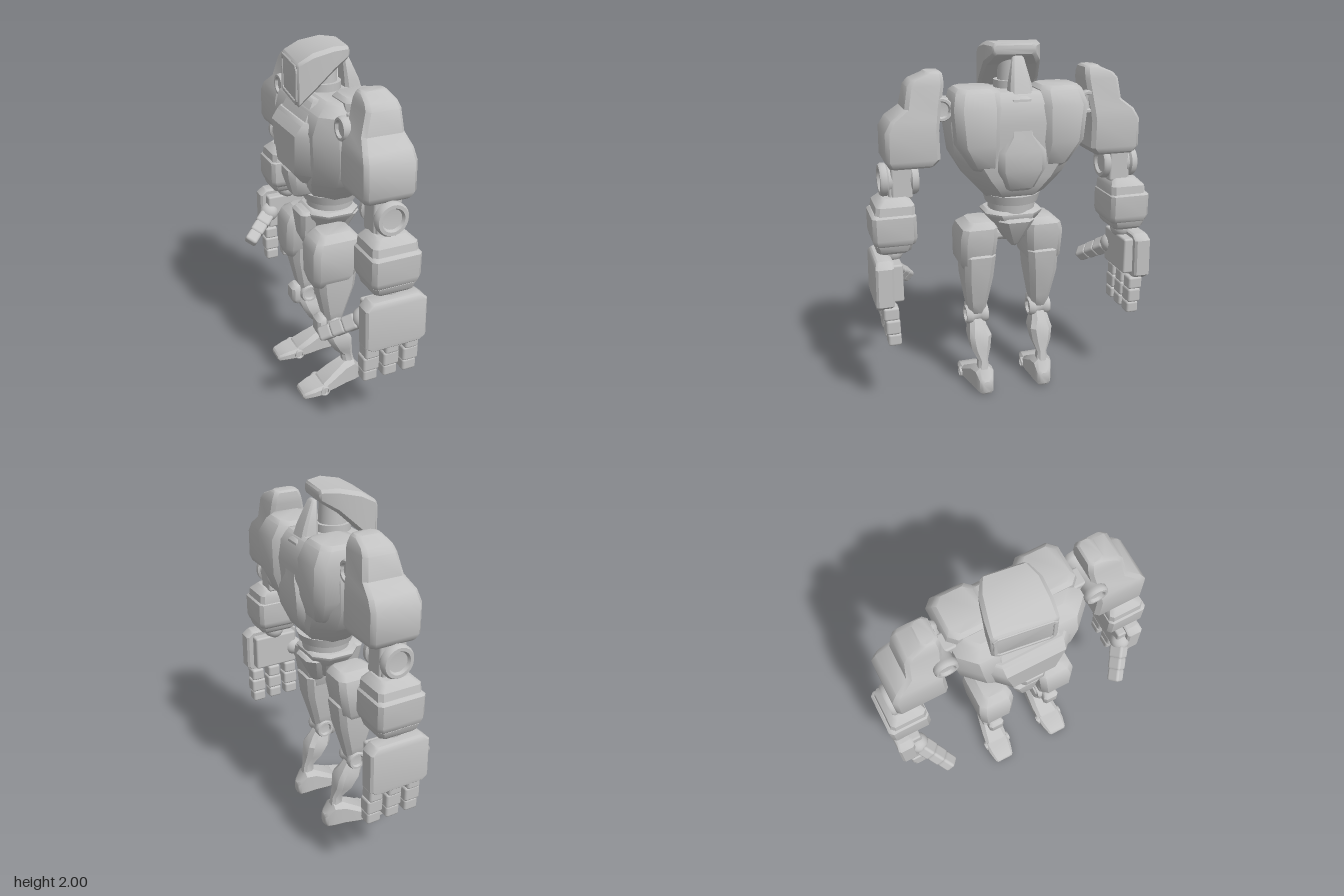
import * as THREE from 'three';
import { toCreasedNormals } from 'three/addons/utils/BufferGeometryUtils.js';
import { RoundedBoxGeometry } from 'three/addons/geometries/RoundedBoxGeometry.js';

const gray = new THREE.MeshStandardMaterial({ color: 0xc2c2c2 });
gray.name = 'plain gray';

function add(parent, name, geometry, x = 0, y = 0, z = 0) {
  const mesh = new THREE.Mesh(geometry, gray);
  mesh.name = name;
  mesh.position.set(x, y, z);
  parent.add(mesh);
  return mesh;
}

// Skin through chamfered rectangles [t, centreU, centreV, width, depth, chamfer] along y or z, with bevelled ends
function loft(sections, axis = 'y', bevel = 0.015) {
  const first = sections[0], last = sections[sections.length - 1];
  const inset = ([t, u, v, w, d, c]) => [t, u, v, w - 2 * bevel, d - 2 * bevel, c];
  const moved = (s, dt) => [s[0] + dt, ...s.slice(1)];
  const rows = [inset(first), moved(first, bevel), ...sections.slice(1, -1), moved(last, -bevel), inset(last)];
  const position = [], index = [];
  const put = (u, v, t) => position.push(...(axis === 'y' ? [u, t, v] : [u, v, t]));
  for (const [t, u, v, w, d, c] of rows) {
    const a = w / 2, b = d / 2, k = Math.min(c, a * 0.9, b * 0.9);
    for (const [p, q] of [[a, b - k], [a - k, b], [k - a, b], [-a, b - k], [-a, k - b], [k - a, -b], [a - k, -b], [a, k - b]])
      put(u + p, v + q, t);
  }
  const face = (a, b, c) => (axis === 'y' ? index.push(a, c, b) : index.push(a, b, c));
  for (let r = 0; r < rows.length - 1; r++)
    for (let i = 0; i < 8; i++) {
      const a = r * 8 + i, b = r * 8 + (i + 1) % 8;
      face(a, b, b + 8);
      face(a, b + 8, a + 8);
    }
  const top = (rows.length - 1) * 8;
  for (let i = 1; i < 7; i++) {
    face(0, i + 1, i);
    face(top, top + i, top + i + 1);
  }
  const g = new THREE.BufferGeometry();
  g.setAttribute('position', new THREE.Float32BufferAttribute(position, 3));
  g.setIndex(index);
  return toCreasedNormals(g, 0.62);
}

const box = (w, h, d, r = 0.012) => new RoundedBoxGeometry(w, h, d, 2, r);

// Joint drum with a raised rim and dished ends, along x or z
function drum(r, length, axis) {
  const h = length / 2;
  const profile = [[0, -h + 0.02], [r * 0.6, -h + 0.015], [r * 0.7, -h], [r * 0.9, -h], [r, -h + 0.012], [r, -h + 0.035], [r * 0.85, -h + 0.045],
    [r * 0.85, h - 0.045], [r, h - 0.035], [r, h - 0.012], [r * 0.9, h], [r * 0.7, h], [r * 0.6, h - 0.015], [0, h - 0.02]];
  const g = toCreasedNormals(new THREE.LatheGeometry(profile.map(p => new THREE.Vector2(...p)), 28), 0.8);
  return axis === 'x' ? g.rotateZ(Math.PI / 2) : g.rotateX(Math.PI / 2);
}

function rectangle(path, w, h, r) {
  const a = w / 2, b = h / 2;
  const p = [[-a + r, -b], [a - r, -b], [a, -b + r], [a, b - r], [a - r, b], [-a + r, b], [-a, b - r], [-a, -b + r]];
  path.setFromPoints(p.map(q => new THREE.Vector2(...q)));
  return path;
}

function buildTorso(body) {
  add(body, 'torso', loft([
    [1.19, 0, -0.01, 0.34, 0.27, 0.08], [1.25, 0, -0.01, 0.42, 0.32, 0.09], [1.31, 0, -0.01, 0.53, 0.36, 0.1], [1.43, 0, -0.01, 0.67, 0.39, 0.1],
    [1.6, 0, -0.01, 0.71, 0.42, 0.1], [1.7, 0, -0.02, 0.68, 0.38, 0.08], [1.76, 0, -0.03, 0.58, 0.3, 0.06]]));
  add(body, 'chestPlate', loft([
    [1.29, 0, 0.1, 0.36, 0.2, 0.09], [1.36, 0, 0.1, 0.5, 0.29, 0.16], [1.58, 0, 0.1, 0.6, 0.31, 0.19],
    [1.645, 0, 0.08, 0.58, 0.28, 0.17]]));
  add(body, 'collar', loft([[1.6, 0, 0.08, 0.52, 0.26, 0.1], [1.75, 0, 0.04, 0.44, 0.22, 0.08]]));
  add(body, 'abdomenBlock', loft([[1.19, 0, 0.16, 0.11, 0.12, 0.02], [1.31, 0, 0.18, 0.16, 0.14, 0.03], [1.365, 0, 0.18, 0.15, 0.14, 0.03]]));
  // Upper back blocks wrapping over the shoulders of the torso
  for (const s of [1, -1])
    add(body, 'backPack', loft([
      [1.36, s * 0.19, -0.12, 0.15, 0.16, 0.03], [1.5, s * 0.225, -0.12, 0.23, 0.24, 0.04],
      [1.69, s * 0.232, -0.1, 0.25, 0.29, 0.04], [1.785, s * 0.222, -0.08, 0.23, 0.25, 0.04]], 'y', 0.02));
  add(body, 'spinePlate', loft([[1.24, 0, -0.14, 0.16, 0.1, 0.02], [1.36, 0, -0.165, 0.26, 0.13, 0.03],
    [1.46, 0, -0.17, 0.26, 0.13, 0.03], [1.54, 0, -0.16, 0.14, 0.12, 0.02], [1.74, 0, -0.15, 0.13, 0.1, 0.02]]));
  add(body, 'backFin', loft([[1.68, -0.01, -0.14, 0.14, 0.11, 0.02], [1.8, -0.01, -0.12, 0.11, 0.08, 0.015], [1.93, -0.01, -0.09, 0.06, 0.03, 0.008]], 'y', 0.008));
  // Waist and pelvis
  add(body, 'waistRing', new THREE.CylinderGeometry(0.16, 0.145, 0.05, 28), 0, 1.175, -0.01);
  add(body, 'waist', new THREE.CylinderGeometry(0.135, 0.125, 0.1, 28), 0, 1.125, -0.01);
  add(body, 'pelvis', loft([[0.92, 0, 0, 0.1, 0.12, 0.02], [1.02, 0, 0, 0.2, 0.22, 0.05], [1.08, 0, 0, 0.31, 0.28, 0.07], [1.11, 0, 0, 0.32, 0.28, 0.07]]));
  add(body, 'pelvisFront', loft([[0.87, 0, 0.12, 0.06, 0.06, 0.015], [0.95, 0, 0.13, 0.1, 0.1, 0.02], [1.1, 0, 0.14, 0.16, 0.1, 0.02]]));
  add(body, 'pelvisBack', loft([[0.9, 0, -0.06, 0.06, 0.08, 0.02], [1.07, 0, -0.1, 0.2, 0.12, 0.04]]));
  add(body, 'hipAxle', drum(0.045, 0.3, 'x'), 0, 0.94, 0.04);
}

function buildHead(body) {
  const head = new THREE.Group();
  head.name = 'head';
  head.position.set(-0.015, 0, 0.055);
  head.rotation.y = -0.14;
  body.add(head);
  add(head, 'helmet', loft([
    [-0.14, 0, 1.96, 0.23, 0.065, 0.015], [-0.05, 0, 1.938, 0.3, 0.124, 0.02],
    [0.06, 0, 1.877, 0.325, 0.2, 0.02], [0.145, 0, 1.824, 0.325, 0.222, 0.015]], 'z', 0.01));
  const frame = rectangle(new THREE.Shape(), 0.3, 0.195, 0.02);
  frame.holes.push(rectangle(new THREE.Path(), 0.275, 0.168, 0.015));
  add(head, 'visorFrame', new THREE.ExtrudeGeometry(frame, { depth: 0.01, bevelEnabled: true, bevelSize: 0.004, bevelThickness: 0.004, bevelSegments: 1 }), 0, 1.822, 0.137);
  add(head, 'neck', new THREE.CylinderGeometry(0.07, 0.08, 0.2, 24), 0, 1.81, -0.03);
  add(head, 'neckRing', new THREE.CylinderGeometry(0.095, 0.095, 0.04, 24), 0, 1.78, -0.03);
}

function buildArm(body, s) {
  const arm = new THREE.Group();
  arm.name = s > 0 ? 'leftArm' : 'rightArm';
  body.add(arm);
  add(arm, 'shoulderJoint', drum(0.062, 0.25, 'z'), s * 0.4, 1.68, 0);
  add(arm, 'shoulderAxle', box(0.16, 0.09, 0.1), s * 0.36, 1.68, 0);
  add(arm, 'shoulderArmour', loft([
    [1.39, s * 0.56, -0.01, 0.24, 0.26, 0.02], [1.43, s * 0.555, -0.01, 0.28, 0.28, 0.02], [1.58, s * 0.555, -0.01, 0.275, 0.28, 0.02],
    [1.635, s * 0.535, -0.012, 0.25, 0.265, 0.02], [1.69, s * 0.495, -0.02, 0.185, 0.225, 0.02],
    [1.8, s * 0.475, -0.03, 0.185, 0.185, 0.02], [1.83, s * 0.462, -0.03, 0.16, 0.17, 0.02], [1.868, s * 0.43, -0.03, 0.09, 0.145, 0.02]], 'y', 0.01));
  add(arm, 'upperArm', box(0.11, 0.24, 0.15), s * 0.61, 1.34, -0.01);
  add(arm, 'elbowJoint', drum(0.088, 0.2, 'x'), s * 0.62, 1.315, -0.01);
  add(arm, 'elbowLink', box(0.1, 0.16, 0.13), s * 0.63, 1.23, -0.01);
  add(arm, 'forearmCuff', loft([[1.12, s * 0.66, -0.015, 0.21, 0.25, 0.02], [1.195, s * 0.655, -0.015, 0.2, 0.24, 0.02], [1.235, s * 0.65, -0.015, 0.16, 0.19, 0.02]]));
  add(arm, 'forearm', loft([[0.975, s * 0.665, -0.015, 0.215, 0.25, 0.02], [1.02, s * 0.665, -0.015, 0.23, 0.268, 0.02], [1.155, s * 0.665, -0.015, 0.23, 0.268, 0.02]]));
  add(arm, 'forearmEnd', loft([[0.935, s * 0.67, -0.015, 0.18, 0.22, 0.02], [1.0, s * 0.67, -0.015, 0.2, 0.24, 0.02]]));
  add(arm, 'wrist', new THREE.SphereGeometry(0.06, 20, 14), s * 0.67, 0.92, -0.015);
  // Hand: octagonal back plate and a smaller palm
  add(arm, 'handBack', loft([[0.64, s * 0.74, -0.018, 0.09, 0.285, 0.012], [0.67, s * 0.74, -0.018, 0.095, 0.34, 0.012],
    [0.88, s * 0.735, -0.018, 0.095, 0.34, 0.012], [0.915, s * 0.73, -0.018, 0.09, 0.285, 0.012]], 'y', 0.01));
  add(arm, 'palm', box(0.08, 0.21, 0.27), s * 0.675, 0.78, -0.015);
  // Fingers
  for (const z of [0.095, -0.018, -0.13])
    [[0.615, 0.075, 0.078], [0.54, 0.085, 0.09], [0.465, 0.07, 0.08]].forEach(([y, h, w], i) =>
      add(arm, 'fingerSegment', box(0.084 - i * 0.006, h, w, 0.014), s * (0.71 - i * 0.006), y, z));
  // Thumb
  const from = new THREE.Vector3(s * 0.665, 0.775, 0.11), to = new THREE.Vector3(s * 0.55, 0.655, 0.28);
  const direction = to.clone().sub(from).normalize();
  add(arm, 'thumbBall', new THREE.SphereGeometry(0.058, 20, 14), from.x, from.y, from.z);
  [0.28, 0.58, 0.88].forEach((k, i) => {
    const p = from.clone().lerp(to, k);
    add(arm, 'thumbSegment', box(0.09 - i * 0.006, 0.08, 0.08 - i * 0.004, 0.016), p.x, p.y, p.z)
      .quaternion.setFromUnitVectors(new THREE.Vector3(0, 1, 0), direction);
  });
}

function buildLeg(body, s) {
  const leg = new THREE.Group();
  leg.name = s > 0 ? 'leftLeg' : 'rightLeg';
  body.add(leg);
  add(leg, 'thighArmour', loft([
    [0.72, s * 0.195, 0.09, 0.13, 0.2, 0.025], [0.79, s * 0.195, 0.08, 0.195, 0.25, 0.03],
    [0.95, s * 0.19, 0.065, 0.21, 0.275, 0.03], [1.0, s * 0.185, 0.055, 0.195, 0.25, 0.03], [1.035, s * 0.175, 0.05, 0.15, 0.2, 0.025]], 'y', 0.012));
  add(leg, 'thigh', loft([
    [0.45, s * 0.19, 0.06, 0.09, 0.09, 0.02], [0.54, s * 0.19, 0.06, 0.12, 0.13, 0.025],
    [0.7, s * 0.19, 0.055, 0.165, 0.21, 0.03], [0.85, s * 0.185, 0.05, 0.18, 0.23, 0.03]]));
  add(leg, 'kneeJoint', drum(0.055, 0.13, 'x'), s * 0.19, 0.45, 0.06);
  add(leg, 'kneePlate', loft([[0.38, s * 0.19, 0.125, 0.07, 0.05, 0.015], [0.42, s * 0.19, 0.135, 0.095, 0.06, 0.015],
    [0.49, s * 0.19, 0.135, 0.095, 0.06, 0.015], [0.515, s * 0.19, 0.125, 0.075, 0.05, 0.015]], 'y', 0.008));
  add(leg, 'shin', loft([
    [0.12, s * 0.18, -0.045, 0.07, 0.07, 0.015], [0.2, s * 0.18, -0.035, 0.055, 0.065, 0.015], [0.265, s * 0.185, 0.0, 0.11, 0.11, 0.025],
    [0.34, s * 0.185, 0.025, 0.13, 0.14, 0.025], [0.39, s * 0.19, 0.05, 0.1, 0.12, 0.025], [0.45, s * 0.19, 0.06, 0.08, 0.08, 0.02]]));
  // Foot, heel to toe
  add(leg, 'foot', loft([
    [-0.12, s * 0.175, 0.055, 0.08, 0.1, 0.015], [-0.07, s * 0.178, 0.08, 0.105, 0.16, 0.025], [-0.01, s * 0.182, 0.08, 0.125, 0.16, 0.03],
    [0.07, s * 0.188, 0.058, 0.145, 0.116, 0.025], [0.155, s * 0.195, 0.038, 0.15, 0.076, 0.02]], 'z'));
  add(leg, 'toe', loft([[0.13, s * 0.195, 0.035, 0.16, 0.07, 0.015], [0.2, s * 0.198, 0.03, 0.15, 0.06, 0.015], [0.27, s * 0.2, 0.02, 0.12, 0.04, 0.01]], 'z', 0.01));
  add(leg, 'toeJoint', drum(0.03, 0.17, 'x'), s * 0.194, 0.035, 0.14);
}

export function createModel() {
  const model = new THREE.Group();
  model.name = 'robot';
  const body = new THREE.Group();
  body.name = 'body';
  body.rotation.y = -0.471;
  model.add(body);
  buildTorso(body);
  buildHead(body);
  for (const s of [1, -1]) {
    buildArm(body, s);
    buildLeg(body, s);
  }
  return model;
}
